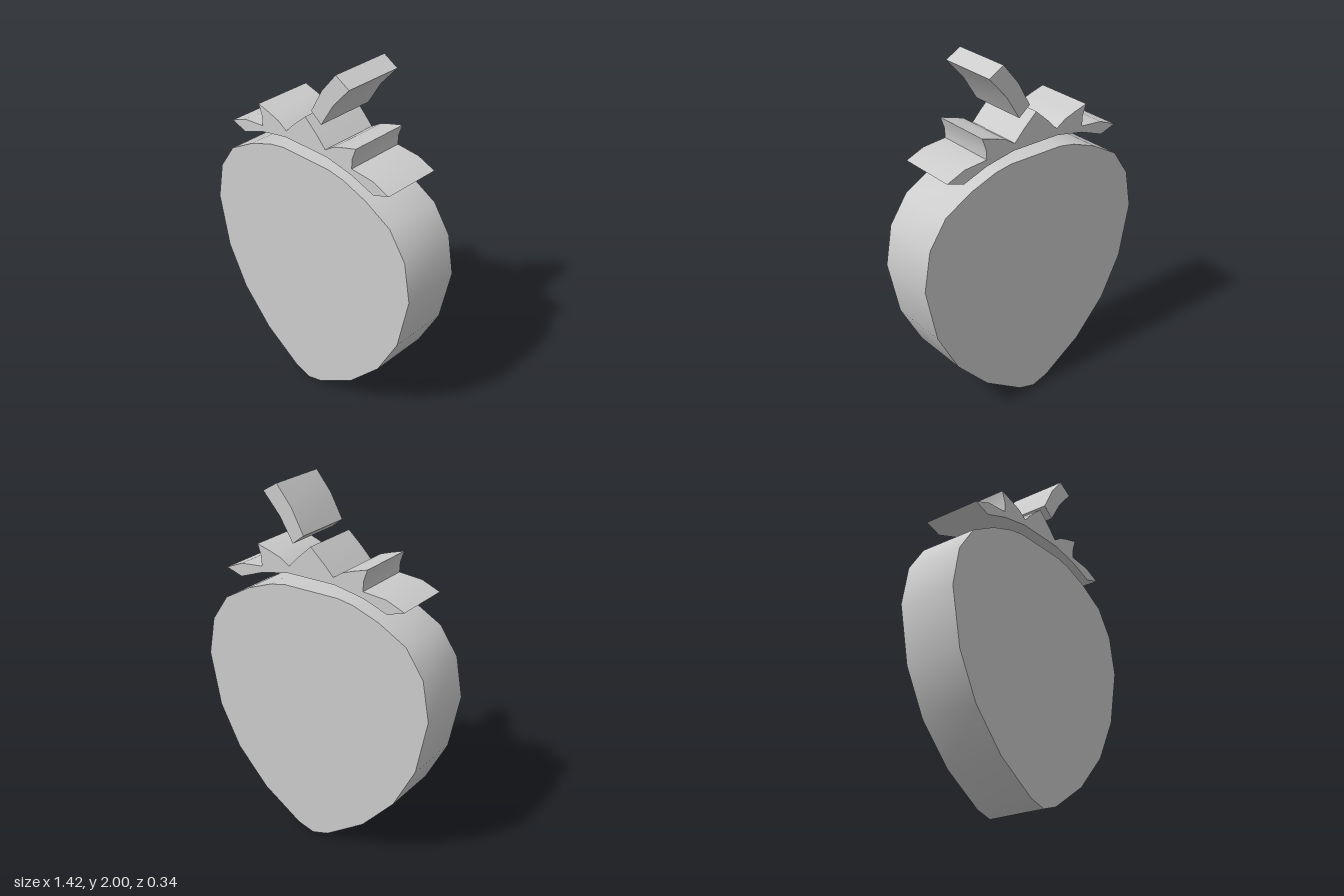
import * as THREE from 'three';
import { toCreasedNormals } from 'three/addons/utils/BufferGeometryUtils.js';

const DEPTH = 0.34;
const material = new THREE.MeshStandardMaterial({ color: 0xcccccc });

// Adds the left half of an outline; points on the centre line are not repeated
function mirror(half) {
  const other = half.filter(([x]) => x > 0).reverse().map(([x, y]) => [-x, y]);
  return [...half, ...other];
}

// Extrudes an outline evenly to both sides of z = 0, rounded sides with sharp rims
function slab(name, outline) {
  const shape = new THREE.Shape(outline.map(([x, y]) => new THREE.Vector2(x, y)));
  const geometry = new THREE.ExtrudeGeometry(shape, { depth: DEPTH, bevelEnabled: false });
  geometry.translate(0, 0, -DEPTH / 2);
  const mesh = new THREE.Mesh(toCreasedNormals(geometry, 0.7), material);
  mesh.name = name;
  return mesh;
}

export function createModel() {
  const model = new THREE.Group();
  model.name = 'strawberry';

  // Fruit, from the bottom tip up to the flat top
  model.add(slab('fruit', mirror([
    [0, 0], [0.1, 0.03], [0.335, 0.185], [0.525, 0.39], [0.65, 0.63], [0.712, 0.94],
    [0.672, 1.16], [0.57, 1.31], [0.41, 1.4], [0.26, 1.455], [0.165, 1.472],
  ])));

  // Leaf crown, from the underside out to the tip and back to the middle peak
  model.add(slab('leafCrown', mirror([
    [0.145, 1.54], [0.315, 1.507], [0.457, 1.455], [0.555, 1.487], [0.45, 1.53],
    [0.315, 1.542], [0.318, 1.597], [0.34, 1.66], [0.26, 1.637], [0.195, 1.615],
    [0.138, 1.578], [0.08, 1.638], [0, 1.71],
  ])));

  // Bent stem
  model.add(slab('stem', [
    [0.11, 1.705], [0.19, 1.835], [0.292, 1.95], [0.206, 2], [0.116, 1.89], [0.043, 1.757],
  ]));

  return model;
}
